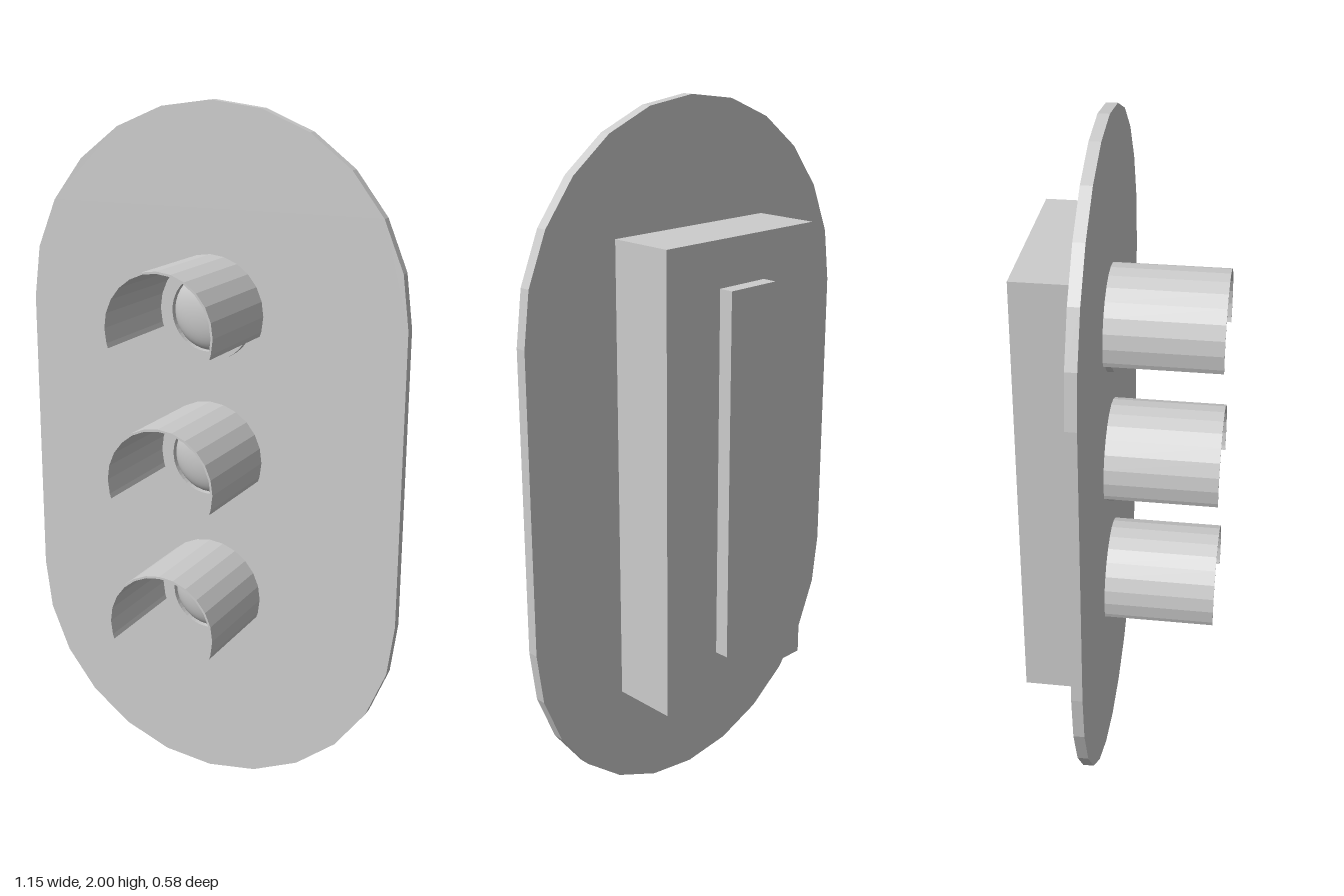
import * as THREE from 'three';

const DEG = Math.PI / 180;

export function createModel() {
  const model = new THREE.Group();
  model.name = 'trafficSignal';
  const grey = new THREE.MeshStandardMaterial({ color: 0xcccccc });
  grey.name = 'lightGrey';
  const flatGrey = grey.clone();
  flatGrey.name = 'lightGreyFaceted';
  flatGrey.flatShading = true;

  const add = (parent, name, geometry, material, x = 0, y = 0, z = 0) => {
    const mesh = new THREE.Mesh(geometry, material);
    mesh.name = name;
    mesh.position.set(x, y, z);
    parent.add(mesh);
    return mesh;
  };
  const extrude = (shape, depth) =>
    new THREE.ExtrudeGeometry(shape, { depth, bevelEnabled: false, curveSegments: 24 });

  // Backing board: a stadium with 15 degree facets
  const outline = [];
  for (let a = 0; a <= 180; a += 15)
    outline.push(new THREE.Vector2(0.577 * Math.cos(a * DEG), 1.423 + 0.577 * Math.sin(a * DEG)));
  for (let a = 180; a <= 360; a += 15)
    outline.push(new THREE.Vector2(0.577 * Math.cos(a * DEG), 0.577 + 0.577 * Math.sin(a * DEG)));
  add(model, 'backingBoard', extrude(new THREE.Shape(outline), 0.031), flatGrey, 0, 0, -0.06);

  // Housing and mounting rail behind the board
  add(model, 'housing', new THREE.BoxGeometry(0.548, 1.308, 0.19), flatGrey, 0, 1.004, -0.154);
  add(model, 'mountingRail', new THREE.BoxGeometry(0.166, 1.052, 0.044), flatGrey, 0, 1.004, -0.269);

  // Visor: thin open hood, cut a little below the lamp's centre
  const angles = [-20];
  for (let a = -15; a <= 195; a += 15) angles.push(a);
  angles.push(200);
  const arc = (r) => angles.map((a) => new THREE.Vector2(r * Math.cos(a * DEG), r * Math.sin(a * DEG)));
  const visor = extrude(new THREE.Shape([...arc(0.162), ...arc(0.156).reverse()]), 0.319);

  // Lens ring and domed lens
  const ringShape = new THREE.Shape().absarc(0, 0, 0.135, 0, Math.PI * 2, false);
  ringShape.holes.push(new THREE.Path().absarc(0, 0, 0.109, 0, Math.PI * 2, true));
  const ring = extrude(ringShape, 0.019);
  const lens = new THREE.SphereGeometry(0.108, 32, 12, 0, Math.PI * 2, 0, Math.PI / 2);
  lens.rotateX(Math.PI / 2);
  lens.scale(1, 1, 0.38);

  ['lower', 'middle', 'upper'].forEach((place, i) => {
    const lamp = new THREE.Group();
    lamp.name = place + 'Lamp';
    lamp.position.set(0, 0.583 + i * 0.421, -0.029);
    model.add(lamp);
    add(lamp, 'visor', visor, flatGrey);
    add(lamp, 'lensRing', ring, grey);
    add(lamp, 'lens', lens, grey);
  });
  return model;
}
